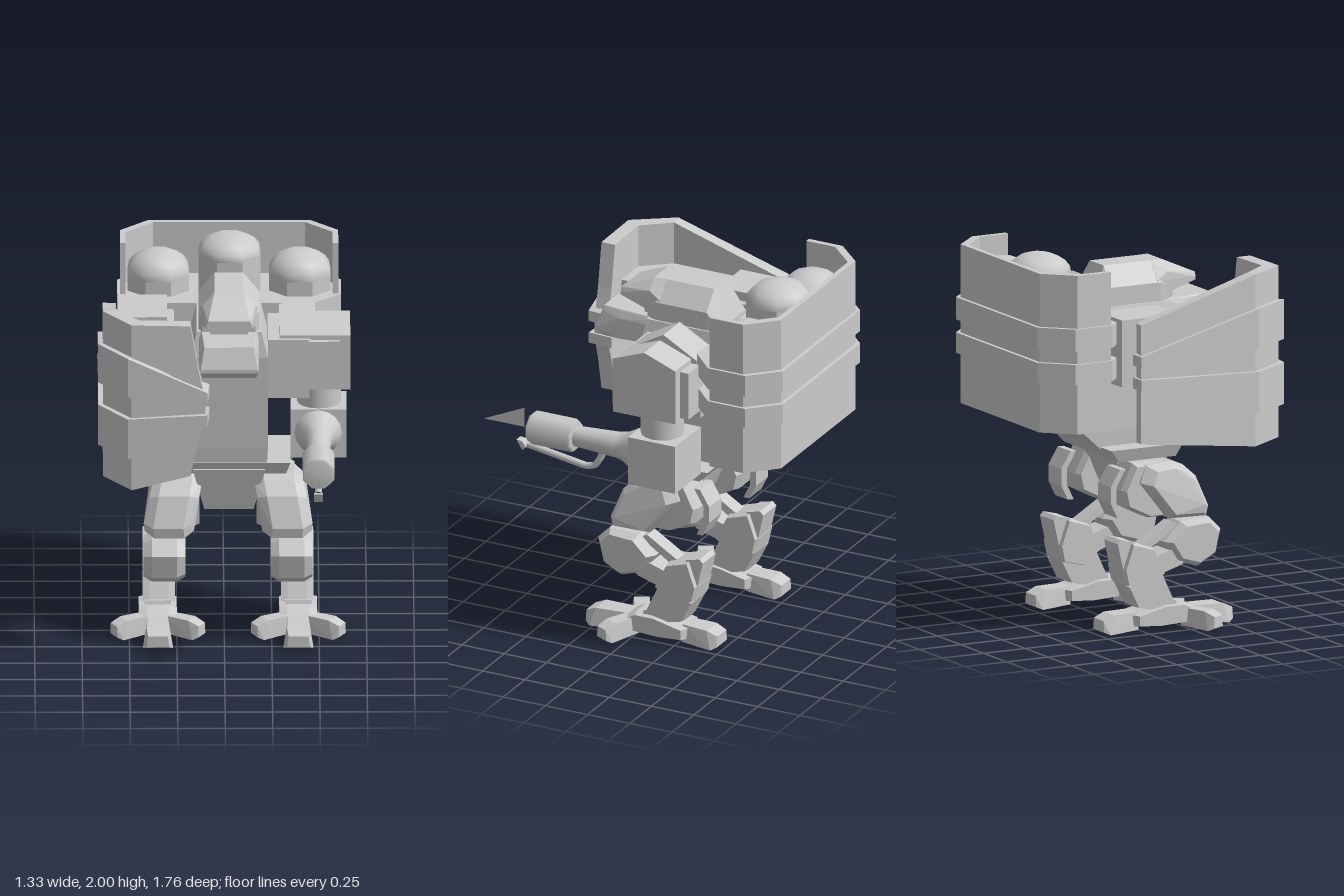
import * as THREE from 'three';
import { ConvexGeometry } from 'three/addons/geometries/ConvexGeometry.js';

const flat = new THREE.MeshStandardMaterial({ color: 0xcccccc, flatShading: true });
const smooth = new THREE.MeshStandardMaterial({ color: 0xcccccc });
const thin = new THREE.MeshStandardMaterial({ color: 0xcccccc, flatShading: true, side: THREE.DoubleSide });
const CX = 0.025; // centre line of the body

export function createModel() {
  const root = new THREE.Group();
  root.name = 'walkingMech';

  function add(name, geo, mat = flat, x = 0, y = 0, z = 0) {
    const m = new THREE.Mesh(geo, mat);
    m.name = name;
    m.position.set(x, y, z);
    root.add(m);
    return m;
  }
  const hull = (name, pts) => add(name, new ConvexGeometry(pts.map(p => new THREE.Vector3(...p))));
  const box = (name, x0, x1, y0, y1, z0, z1) =>
    add(name, new THREE.BoxGeometry(x1 - x0, y1 - y0, z1 - z0), flat, (x0 + x1) / 2, (y0 + y1) / 2, (z0 + z1) / 2);

  // Floor plan of [x, z] points raised from y0 to y1
  const prism = (name, y0, y1, plan) => hull(name, plan.flatMap(([x, z]) => [[x, y0, z], [x, y1, z]]));

  // Side profile of [z, y] points given width, with its outer faces drawn in by a bevel
  function slab(name, cx, w, profile, scale = 1, core = 0.6) {
    const n = profile.length;
    const cz = profile.reduce((a, p) => a + p[0], 0) / n, cy = profile.reduce((a, p) => a + p[1], 0) / n;
    const pts = [];
    for (const s of [-1, 1]) for (const [z, y] of profile) {
      pts.push([cx + s * w, cy + (y - cy) * scale, cz + (z - cz) * scale]);
      if (scale < 1) pts.push([cx + s * w * core, y, z]);
    }
    return hull(name, pts);
  }

  // Hull through level sections [y, halfWidth, zBack, zFront]
  const stack = (name, rows) => hull(name, rows.flatMap(([y, w, b, f]) =>
    [[CX - w, y, b], [CX + w, y, b], [CX + w, y, f], [CX - w, y, f]]));

  // Standing wall through columns [outer x, outer z, inner x, inner z, bottom, top]
  function wall(name, cols) {
    const pos = [], idx = [];
    cols.forEach(([xo, zo, xi, zi, y0, y1], i) => {
      pos.push(xo, y0, zo, xo, y1, zo, xi, y1, zi, xi, y0, zi);
      if (i) for (let k = 0; k < 4; k++) {
        const a = (i - 1) * 4 + k, b = (i - 1) * 4 + (k + 1) % 4;
        idx.push(a, a + 4, b, b, a + 4, b + 4);
      }
    });
    const e = (cols.length - 1) * 4;
    idx.push(0, 1, 2, 0, 2, 3, e, e + 2, e + 1, e, e + 3, e + 2);
    const g = new THREE.BufferGeometry();
    g.setAttribute('position', new THREE.Float32BufferAttribute(pos, 3));
    g.setIndex(idx);
    g.computeVertexNormals();
    return add(name, g, thin);
  }

  // Torso and pelvis
  stack('torso', [[0.95, 0.2, -0.37, 0.05], [1.04, 0.205, -0.47, 0.06], [1.36, 0.205, -0.48, 0.08],
    [1.56, 0.205, -0.42, 0.09], [1.7, 0.17, -0.38, 0.07]]);
  stack('hipBar', [[0.89, 0.3, -0.31, 0.03], [0.96, 0.325, -0.37, 0.06]]);
  stack('pelvis', [[0.68, 0.13, -0.18, 0], [0.92, 0.19, -0.28, 0.06]]);

  // Head: ridged upper hull running into the brow, mouth gap and jutting jaw
  const ridge = (z, w, t, y0, y1, y2) => [[CX - w, y0, z], [CX + w, y0, z], [CX - w, y1, z], [CX + w, y1, z],
    [CX - t, y2, z], [CX + t, y2, z]];
  hull('upperHull', [...ridge(-0.36, 0.15, 0.12, 1.6, 1.7, 1.72), ...ridge(-0.28, 0.16, 0.075, 1.6, 1.8, 1.905),
    ...ridge(0.02, 0.16, 0.075, 1.6, 1.8, 1.905), ...ridge(0.08, 0.14, 0.08, 1.6, 1.77, 1.86)]);
  hull('brow', [...ridge(0, 0.155, 0.075, 1.72, 1.81, 1.905), ...ridge(0.07, 0.14, 0.08, 1.76, 1.85, 1.905),
    ...ridge(0.25, 0.12, 0.11, 1.785, 1.8, 1.825)]);
  hull('jaw', [...ridge(-0.05, 0.16, 0.15, 1.56, 1.66, 1.7), ...ridge(0.24, 0.155, 0.14, 1.545, 1.66, 1.7),
    ...ridge(0.34, 0.14, 0.13, 1.54, 1.68, 1.71), ...ridge(0.38, 0.155, 0.15, 1.58, 1.59, 1.6)]);
  box('visor', CX - 0.1, CX + 0.1, 1.66, 1.8, 0, 0.12);

  // Backpack: two octagonal plates, a rear U-shaped wall and three tanks
  const BX = CX + 0.003;
  const plan = (w, zf, zb) => [[-w, zf - 0.14], [-w, zb + 0.15], [-w + 0.145, zb], [w - 0.145, zb],
    [w, zb + 0.15], [w, zf - 0.14]].map(([x, z]) => [x + BX, z]);
  for (const [y0, y1] of [[1.4, 1.51], [1.58, 1.7]])
    prism('backpackPlate', y0, y1, [...plan(0.59, -0.37, -0.88), [BX + 0.445, -0.37], [BX - 0.445, -0.37]]);
  const inner = plan(0.545, -0.37, -0.83);
  wall('backpackWall', plan(0.575, -0.37, -0.86).map((p, i) => [...p, ...inner[i], 1.13, 1.985]));
  for (const [x, y1, rise] of [[-0.345, 1.78, 0.13], [0.03, 1.89, 0.11], [0.4, 1.78, 0.13]]) {
    const turn = Math.PI / 8, r = 0.176, y0 = 1.26;
    add('tankBody', new THREE.CylinderGeometry(r, r, y1 - y0, 8, 1, true), flat, x, (y0 + y1) / 2, -0.63).rotation.y = turn;
    for (const [s, y] of [[1, y1], [-1, y0]]) {
      const d = add('tankDome', new THREE.SphereGeometry(r, 8, 5, 0, Math.PI * 2, 0, Math.PI / 2), smooth, x, y, -0.63);
      d.scale.y = rise / r;
      d.rotation.set(s < 0 ? Math.PI : 0, turn, 0);
    }
  }
  box('backpackMount', CX - 0.18, CX + 0.18, 1.35, 1.56, -0.55, -0.38);

  // Shield arm: shoulder block, axle and forearm lying inside the shield
  box('shieldShoulder', -0.56, -0.3, 1.36, 1.72, -0.45, -0.1);
  slab('shieldAxle', -0.2, 0.07, [[-0.36, 1.34], [-0.36, 1.52], [0.04, 1.52], [0.04, 1.34]]);
  prism('shieldForearm', 1.35, 1.67, [[-0.57, -0.36], [-0.265, -0.36], [-0.255, 0.46], [-0.46, 0.46], [-0.575, 0.29]]);

  // Wraparound shield with two fanned bands
  wall('shield', [
    [-0.64, -0.38, -0.57, -0.37, 1.06, 1.7], [-0.64, 0.31, -0.57, 0.3, 0.98, 1.905],
    [-0.49, 0.53, -0.45, 0.45, 0.98, 1.905], [-0.18, 0.53, -0.18, 0.45, 1.06, 1.9],
    [-0.14, 0.53, -0.14, 0.45, 1.25, 1.66], [-0.1, 0.53, -0.1, 0.45, 1.38, 1.48]]);
  const band = (end0, end1, mid0, mid1) => wall('shieldBand', [
    [-0.665, -0.39, -0.57, -0.39, end0, end1], [-0.665, 0.32, -0.6, 0.31, mid0, mid1],
    [-0.51, 0.553, -0.46, 0.48, mid0, mid1], [-0.26, 0.556, -0.26, 0.43, end0 * 0.6 + mid0 * 0.4, end1 * 0.6 + mid1 * 0.4],
    [-0.09, 0.56, -0.08, 0.42, end0, end1]]);
  band(1.475, 1.535, 1.51, 1.725);
  band(1.35, 1.41, 1.16, 1.385);

  // Gun arm: two gabled shoulder blocks with a plate between, upper arm and elbow
  const gable = (z0, z1, y0, y1, peak) => [[z0, y0], [z0, y1], [(z0 + z1) / 2, peak], [z1, y1], [z1, y0]];
  box('gunShoulder', 0.23, 0.45, 1.32, 1.645, -0.38, 0.045);
  slab('gunShoulderRoof', 0.385, 0.095, gable(-0.37, 0.02, 1.5, 1.66, 1.77));
  slab('gunPod', 0.562, 0.102, gable(-0.34, 0.03, 1.36, 1.665, 1.735));
  box('gunPodPlate', 0.44, 0.61, 1.375, 1.64, -0.39, 0.06);
  add('upperArm', new THREE.CylinderGeometry(0.115, 0.115, 0.2, 16), smooth, 0.5, 1.29, -0.18);
  box('elbow', 0.35, 0.645, 0.95, 1.22, -0.33, -0.05);

  // Flame gun, turned along z
  const gx = 0.495, gy = 1.09;
  const tube = (name, prof, seg) => {
    const m = add(name, new THREE.LatheGeometry(prof.map(([r, z]) => new THREE.Vector2(r, z)), seg), smooth, gx, gy, 0);
    m.rotation.set(Math.PI / 2, Math.PI / 8, 0);
  };
  tube('gunFunnel', [[0.13, -0.06], [0.115, -0.03], [0.082, 0.03], [0.07, 0.08], [0.055, 0.34]], 16);
  tube('gunBarrel', [[0, 0.33], [0.08, 0.33], [0.09, 0.345], [0.09, 0.58], [0.08, 0.595], [0, 0.595]], 8);

  // Igniter pipe below the barrel, and the flat flame
  const bend = new THREE.CurvePath();
  const pipe = [[1.04, 0.17], [0.99, 0.19], [0.945, 0.22], [0.93, 0.27], [0.985, 0.62]].map(([y, z]) => new THREE.Vector3(gx, y, z));
  pipe.slice(1).forEach((p, i) => bend.add(new THREE.LineCurve3(pipe[i], p)));
  add('igniterPipe', new THREE.TubeGeometry(bend, 24, 0.019, 6), smooth);
  slab('igniterTip', gx, 0.024, [[0.62, 0.975], [0.64, 0.955], [0.675, 1.01], [0.64, 1.005]]);
  const flame = new THREE.BufferGeometry();
  flame.setAttribute('position', new THREE.Float32BufferAttribute(
    [gx, 1.08, 0.88, gx, 1.19, 0.64, gx, 1.08, 0.64], 3));
  flame.computeVertexNormals();
  add('flame', flame, thin);

  // Legs, mirrored about the centre line
  for (const s of [-1, 1]) {
    const at = x => CX - 0.005 + s * x;
    slab('hip', at(0.25), 0.1, [[-0.05, 0.88], [-0.24, 0.88], [-0.31, 0.74], [-0.29, 0.65], [-0.15, 0.58], [0, 0.58], [0.04, 0.75]], 0.9);
    // thigh leans outward towards the knee
    const thigh = [[-0.03, 0.88, 0.27], [-0.18, 0.87, 0.27], [-0.22, 0.78, 0.285], [-0.06, 0.58, 0.31],
      [0.16, 0.575, 0.31], [0.17, 0.63, 0.315], [0.11, 0.79, 0.285], [0.04, 0.855, 0.27]];
    hull('thigh', thigh.flatMap(([z, y, x]) => [-1, 1].flatMap(k =>
      [[at(x + k * 0.08), y, z], [at(x + k * 0.13), y * 0.8 + 0.71 * 0.2, z * 0.75]])));
    // curved guard behind the thigh
    for (const [za, ya, zb, yb] of [[-0.33, 0.86, -0.385, 0.77], [-0.385, 0.77, -0.385, 0.68], [-0.385, 0.68, -0.345, 0.6]])
      slab('rearGuard', at(0.27), 0.07, [[za, ya], [zb, yb], [zb + 0.035, yb], [za + 0.035, ya]]);
    slab('knee', at(0.335), 0.11, [[0.24, 0.5], [0.17, 0.57], [0, 0.56], [-0.1, 0.46], [-0.03, 0.35], [0.1, 0.31], [0.21, 0.37]], 0.8);
    // linkage bars between knee and shin
    slab('upperLink', at(0.34), 0.045, [[0, 0.54], [-0.04, 0.56], [-0.22, 0.45], [-0.2, 0.41]]);
    slab('lowerLink', at(0.34), 0.075, [[0.04, 0.38], [0, 0.33], [-0.2, 0.27], [-0.24, 0.36], [-0.05, 0.42]]);
    // shin, heel spur and ankle
    slab('shin', at(0.35), 0.1, [[-0.18, 0.44], [-0.31, 0.48], [-0.36, 0.34], [-0.34, 0.25], [-0.22, 0.22], [-0.11, 0.3]], 0.93);
    slab('heelSpur', at(0.35), 0.075, [[-0.29, 0.48], [-0.37, 0.5], [-0.39, 0.48], [-0.34, 0.26], [-0.28, 0.3]]);
    slab('ankle', at(0.365), 0.085, [[-0.13, 0.3], [-0.34, 0.25], [-0.28, 0.13], [-0.2, 0.11], [-0.055, 0.14]], 0.95);
    slab('ankleJoint', at(0.37), 0.07, [[-0.05, 0.15], [-0.2, 0.16], [-0.16, 0.06], [-0.02, 0.06]]);
    // foot block and splayed toes
    slab('foot', at(0.37), 0.1, [[0.06, 0.03], [0.06, 0.1], [0, 0.13], [-0.12, 0.13], [-0.3, 0.09], [-0.3, 0.03], [-0.15, 0.02]], 0.9);
    for (const [name, yaw, r0, r1, w] of [['frontToe', 0, 0.05, 0.3, 0.08], ['sideToe', 1.1, 0.05, 0.26, 0.055],
      ['sideToe', -1.1, 0.05, 0.26, 0.055], ['backToe', Math.PI, 0.27, 0.475, 0.08]]) {
      const c = Math.cos(yaw), n = Math.sin(yaw), rm = r1 - 0.03;
      const pts = [];
      for (const k of [-1, 1]) for (const [r, y, h] of [[r0, 0.01, 0.8], [r0, 0.105, 0.65], [rm, 0, 1],
        [rm - 0.03, 0.1, 0.75], [r1, 0.015, 0.75], [r1, 0.075, 0.65]])
        pts.push([at(0.37) + r * n + k * w * h * c, y, r * c - k * w * h * n]);
      hull(name, pts);
    }
  }
  return root;
}
